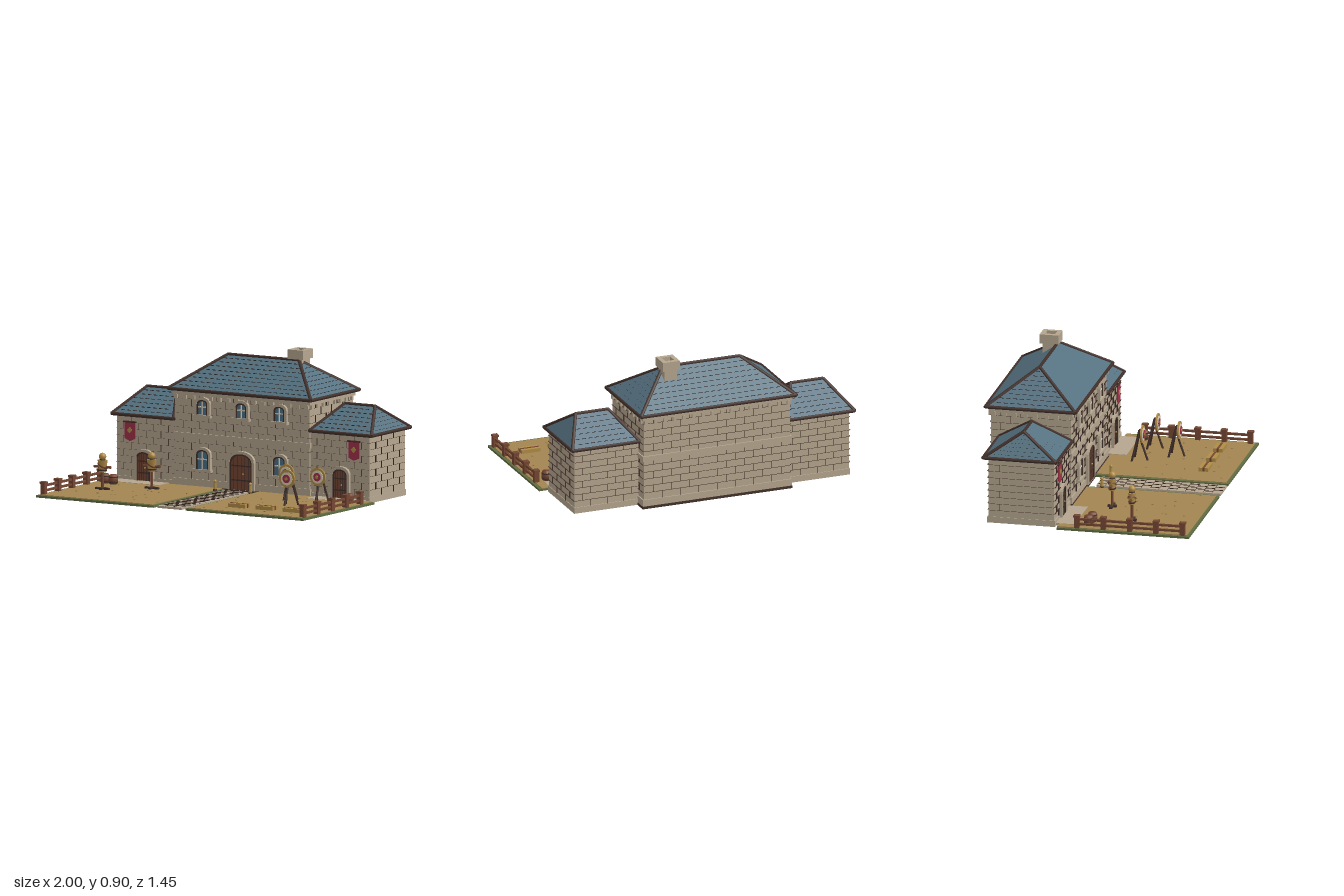
import * as THREE from 'three';

const mat = (name, color, double) => {
  const m = new THREE.MeshStandardMaterial({ color });
  m.name = name;
  if (double) m.side = THREE.DoubleSide;
  return m;
};

export function createModel() {
  const root = new THREE.Group();
  root.name = 'barracks';
  const stone = mat('stone', 0xb5a68f), slate = mat('roofSlate', 0x557180);
  const dark = mat('darkWood', 0x42302a, true), wood = mat('wood', 0x744632);
  const sand = mat('sand', 0xa28552), grass = mat('grass', 0x5f6c42);
  const red = mat('red', 0xa03048), straw = mat('straw', 0xb08c46);
  const glass = mat('glass', 0x48718a), cream = mat('cream', 0xd8cdb8);
  const V = (x, y, z) => new THREE.Vector3(x, y, z);

  const add = (name, geo, m, x = 0, y = 0, z = 0, parent = root) => {
    const mesh = new THREE.Mesh(geo, m);
    mesh.name = name;
    mesh.position.set(x, y, z);
    parent.add(mesh);
    return mesh;
  };
  const group = (name, x = 0, y = 0, z = 0) => {
    const g = new THREE.Group();
    g.name = name;
    g.position.set(x, y, z);
    root.add(g);
    return g;
  };
  // Box given by its extents
  const box = (name, m, x0, x1, y0, y1, z0, z1, p = root) =>
    add(name, new THREE.BoxGeometry(x1 - x0, y1 - y0, z1 - z0), m, (x0 + x1) / 2, (y0 + y1) / 2, (z0 + z1) / 2, p);
  // Straight pole between two points
  const pole = (name, m, a, b, r, p = root, sides = 6) => {
    const d = b.clone().sub(a), c = a.clone().add(b).multiplyScalar(0.5);
    const mesh = add(name, new THREE.CylinderGeometry(r, r, d.length(), sides), m, c.x, c.y, c.z, p);
    mesh.quaternion.setFromUnitVectors(V(0, 1, 0), d.normalize());
    return mesh;
  };
  const quads = (list) => {
    const pos = [];
    for (const [a, b, c, d] of list) for (const v of [a, b, c, a, c, d]) pos.push(v.x, v.y, v.z);
    const g = new THREE.BufferGeometry();
    g.setAttribute('position', new THREE.Float32BufferAttribute(pos, 3));
    g.computeVertexNormals();
    return g;
  };

  // Dark joint edges standing on a stone face, in running bond
  const joints = (name, o, u, v, W, H, rowH, brickW, depth = 0.008) => {
    const n = u.clone().cross(v).multiplyScalar(depth), list = [];
    const at = (s, t) => o.clone().addScaledVector(u, s).addScaledVector(v, t);
    const fin = (a, b) => list.push([a, b, b.clone().add(n), a.clone().add(n)]);
    const rows = Math.round(H / rowH), h = H / rows, w = W / Math.round(W / brickW);
    for (let r = 0; r < rows; r++) {
      if (r) fin(at(0, r * h), at(W, r * h));
      for (let s = r % 2 ? w / 2 : w; s < W - 0.01; s += w) fin(at(s, r * h), at(s, (r + 1) * h));
    }
    add(name, quads(list), dark);
  };
  const brickWalls = (name, x0, x1, y0, y1, z0, z1) => {
    box(name, stone, x0, x1, y0, y1, z0, z1);
    const up = V(0, 1, 0), H = y1 - y0;
    joints(name + 'FrontJoints', V(x0, y0, z1), V(1, 0, 0), up, x1 - x0, H, 0.045, 0.125);
    joints(name + 'BackJoints', V(x1, y0, z0), V(-1, 0, 0), up, x1 - x0, H, 0.045, 0.125);
    joints(name + 'LeftJoints', V(x1, y0, z1), V(0, 0, -1), up, z1 - z0, H, 0.045, 0.125);
    joints(name + 'RightJoints', V(x0, y0, z0), V(0, 0, 1), up, z1 - z0, H, 0.045, 0.125);
  };

  // Hipped roof with slate courses and dark ridge, hip and eave beams
  const hipRoof = (name, cx, cz, w, d, r, y0, y1, courses) => {
    const g = group(name, cx, 0, cz);
    const A = V(-w, y0, d), B = V(w, y0, d), C = V(w, y0, -d), D = V(-w, y0, -d);
    const L = V(-r, y1, 0), R = V(r, y1, 0);
    const slopes = [[A, B, R, L], [B, C, R, R], [C, D, L, R], [D, A, L, L]];
    add('slates', quads(slopes), slate, 0, 0, 0, g);
    const butts = [];
    for (const [a, b, rb, ra] of slopes) {
      const u = b.clone().sub(a).normalize();
      const n = u.clone().cross(ra.clone().sub(a)).normalize().multiplyScalar(0.006);
      for (let i = 1; i < courses; i++) {
        const p = a.clone().lerp(ra, i / courses), len = p.distanceTo(b.clone().lerp(rb, i / courses));
        for (let s = 0.015 + (i % 2) * 0.022; s + 0.03 < len; s += 0.044) {
          const e = p.clone().addScaledVector(u, s), f = p.clone().addScaledVector(u, s + 0.028);
          butts.push([e, f, f.clone().add(n), e.clone().add(n)]);
        }
      }
    }
    const buttMat = slateEdge;
    add('slateEdges', quads(butts), buttMat, 0, 0, 0, g);
    box('soffit', dark, -w, w, y0 - 0.012, y0 + 0.001, -d, d, g);
    for (const [a, b] of [[A, B], [B, C], [C, D], [D, A], [A, L], [D, L], [B, R], [C, R], [L, R]])
      pole('roofBeam', dark, a, b, 0.011, g);
  };
  const slateEdge = dark.clone();
  slateEdge.side = THREE.FrontSide;

  // Flat arched panel, its base at y = 0
  const archShape = (w, h, Type = THREE.Shape) => {
    const s = new Type(), rise = w * 0.36;
    s.moveTo(-w / 2, 0);
    s.lineTo(w / 2, 0);
    s.lineTo(w / 2, h - rise);
    s.bezierCurveTo(w / 2, h - rise * 0.3, w * 0.25, h, 0, h);
    s.bezierCurveTo(-w * 0.25, h, -w / 2, h - rise * 0.3, -w / 2, h - rise);
    return s;
  };
  const extrude = (s, depth) => new THREE.ExtrudeGeometry(s, { depth, bevelEnabled: false, curveSegments: 6 });
  const archFrame = (w, h, t, depth) => {
    const s = archShape(w, h);
    s.holes.push(archShape(w - 2 * t, h - t, THREE.Path));
    return extrude(s, depth);
  };

  const windowAt = (x, y, z, w, h) => {
    const g = group('window', x, y, z);
    add('surround', archFrame(w + 0.034, h + 0.017, 0.017, 0.02), stone, 0, 0, 0, g);
    add('frame', archFrame(w, h, 0.009, 0.017), dark, 0, 0, 0, g);
    add('pane', extrude(archShape(w - 0.012, h - 0.006), 0.011), glass, 0, 0, 0, g);
    box('mullion', cream, -0.004, 0.004, 0.004, h - 0.01, 0.011, 0.015, g);
    box('transom', cream, -w / 2 + 0.008, w / 2 - 0.008, h * 0.5, h * 0.5 + 0.008, 0.011, 0.015, g);
    box('sill', stone, -w / 2 - 0.025, w / 2 + 0.025, -0.014, 0.004, 0, 0.028, g);
  };
  const doorAt = (x, y, z, w, h) => {
    const g = group('door', x, y, z);
    add('surround', archFrame(w + 0.036, h + 0.018, 0.018, 0.022), stone, 0, 0, 0, g);
    add('frame', archFrame(w, h, 0.01, 0.019), dark, 0, 0, 0, g);
    add('leaf', extrude(archShape(w - 0.012, h - 0.006), 0.012), wood, 0, 0, 0, g);
    for (let i = 1; i < 6; i++) {
      const px = (i / 6 - 0.5) * w;
      box('plankGap', dark, px - 0.002, px + 0.002, 0, h * (i % 4 === 1 ? 0.88 : 0.94), 0.011, 0.014, g);
    }
    for (const t of [0.25, 0.65]) box('ironBand', dark, -w * 0.45, w * 0.45, h * t, h * t + 0.009, 0.011, 0.015, g);
    add('handle', new THREE.SphereGeometry(0.006, 8, 6), straw, w * 0.1, h * 0.45, 0.018, g);
  };

  // Main hall
  box('foundation', dark, -0.515, 0.515, 0, 0.016, -0.698, -0.142);
  box('plinth', stone, -0.512, 0.512, 0.016, 0.06, -0.693, -0.152);
  brickWalls('hall', -0.503, 0.503, 0.06, 0.62, -0.685, -0.16);
  box('stringCourse', stone, -0.512, 0.512, 0.322, 0.354, -0.694, -0.151);
  box('cornice', stone, -0.515, 0.515, 0.598, 0.622, -0.697, -0.148);
  for (let i = 0; i < 16; i++) {
    const x = -0.49 + i * 0.98 / 15;
    for (const z of [-0.156, -0.689]) box('dentil', stone, x - 0.011, x + 0.011, 0.572, 0.6, z - 0.01, z + 0.01);
  }
  for (let i = 0; i < 8; i++) for (const s of [-1, 1])
    add('sideDentil', new THREE.BoxGeometry(0.02, 0.028, 0.022), stone, s * 0.507, 0.586, -0.18 - i * 0.069);
  hipRoof('hallRoof', 0, -0.42, 0.535, 0.295, 0.265, 0.635, 0.838, 9);
  for (const x of [-0.29, 0, 0.285]) windowAt(x, 0.475, -0.16, 0.08, 0.1);
  for (const x of [-0.29, 0.285]) windowAt(x, 0.125, -0.16, 0.09, 0.128);
  doorAt(0, 0.016, -0.16, 0.165, 0.232);

  // Chimney
  box('chimneyStack', stone, 0.203, 0.29, 0.72, 0.85, -0.51, -0.415);
  const cap = archlessCap(0.115, 0.125);
  add('chimneyCap', cap, stone, 0.247, 0.845, -0.463).rotation.x = -Math.PI / 2;
  box('flue', dark, 0.217, 0.277, 0.848, 0.87, -0.495, -0.43);
  function archlessCap(w, d) {
    const rect = (T, a, b) => new T([[-a, -b], [a, -b], [a, b], [-a, b]].map(p => new THREE.Vector2(...p)));
    const s = rect(THREE.Shape, w / 2, d / 2);
    s.holes.push(rect(THREE.Path, 0.03, 0.033));
    return extrude(s, 0.06);
  }

  // Wings, mirrored
  for (const s of [-1, 1]) {
    const [x0, x1] = s < 0 ? [-0.945, -0.5] : [0.5, 0.945];
    box('wingPlinth', stone, x0 - 0.004, x1 + 0.004, 0, 0.04, -0.606, -0.163);
    brickWalls('wing', x0, x1, 0.04, 0.43, -0.6, -0.17);
    hipRoof('wingRoof', s * 0.74, -0.39, 0.232, 0.24, 0.112, 0.437, 0.592, 7);
    box('wingStep', stone, s * 0.738 - 0.187, s * 0.738 + 0.187, 0.004, 0.02, -0.17, -0.04);
    doorAt(s * 0.735, 0.02, -0.17, 0.105, 0.185);
    // Hanging banner
    const b = group('banner', s * 0.838, 0, -0.159);
    const cloth = [[-0.04, 0.39], [-0.04, 0.285], [0, 0.268], [0.04, 0.285], [0.04, 0.39]];
    add('cloth', extrude(new THREE.Shape(cloth.map(p => new THREE.Vector2(...p))), 0.006), red, 0, 0, 0, b);
    add('emblem', new THREE.CylinderGeometry(0.02, 0.02, 0.004, 4), straw, 0, 0.338, 0.008, b).rotation.x = Math.PI / 2;
    pole('rod', dark, V(-0.048, 0.392, 0.003), V(0.048, 0.392, 0.003), 0.006, b);
  }

  // Path and yards
  box('path', stone, -0.09, 0.09, 0.002, 0.016, -0.09, 0.722);
  joints('pathJoints', V(-0.09, 0.016, 0.722), V(1, 0, 0), V(0, 0, -1), 0.18, 0.81, 0.06, 0.06, 0.005);
  let seed = 7;
  const rnd = () => (seed = (seed * 16807) % 2147483647) / 2147483647;
  for (const s of [-1, 1]) {
    box('grassBorder', grass, s * 0.56 - 0.44, s * 0.56 + 0.44, 0, 0.014, -0.142, 0.722);
    box('sandYard', sand, s * 0.56 - 0.42, s * 0.56 + 0.42, 0.012, 0.018, -0.142, 0.705);
    for (let i = 0; i < 22; i++)
      add('pebble', new THREE.BoxGeometry(0.012, 0.005, 0.008), sand, s * (0.16 + rnd() * 0.76), 0.02, rnd() * 0.66).rotation.y = rnd() * 3;
    // Fence
    for (let i = 0; i < 5; i++) {
      const z = -0.015 + i * 0.1725, x = s * 0.97;
      box('fencePost', wood, x - 0.016, x + 0.016, 0.012, 0.088, z - 0.016, z + 0.016);
      box('fencePostCap', wood, x - 0.02, x + 0.02, 0.086, 0.099, z - 0.02, z + 0.02);
    }
    for (const y of [0.04, 0.072]) box('fenceRail', wood, s * 0.97 - 0.007, s * 0.97 + 0.007, y - 0.007, y + 0.007, -0.015, 0.675);
    // Lantern post beside the path
    const l = group('lantern', s * 0.132, 0.014, -0.045);
    add('base', new THREE.CylinderGeometry(0.012, 0.014, 0.012, 8), dark, 0, 0.006, 0, l);
    add('body', new THREE.CylinderGeometry(0.009, 0.011, 0.045, 8), straw, 0, 0.034, 0, l);
    add('top', new THREE.SphereGeometry(0.011, 8, 6), straw, 0, 0.062, 0, l);
  }

  // Barrels
  const staves = [[0, 0], [0.026, 0], [0.032, 0.03], [0.026, 0.062], [0, 0.062]].map(p => new THREE.Vector2(...p));
  for (const [x, z] of [[-0.9, 0.045], [-0.832, 0.055], [0.895, -0.005]]) {
    const g = group('barrel', x, 0.016, z);
    add('staves', new THREE.LatheGeometry(staves, 10), wood, 0, 0, 0, g);
    for (const y of [0.014, 0.047]) add('hoop', new THREE.CylinderGeometry(0.031, 0.031, 0.007, 10), dark, 0, y, 0, g);
  }

  // Training dummies
  for (const [x, z] of [[-0.763, 0.297], [-0.51, 0.11]]) {
    const g = group('trainingDummy', x, 0.016, z);
    box('footX', dark, -0.05, 0.05, 0, 0.014, -0.01, 0.01, g);
    box('footZ', dark, -0.01, 0.01, 0, 0.014, -0.03, 0.03, g);
    pole('post', wood, V(0, 0, 0), V(0, 0.2, 0), 0.009, g);
    pole('arms', wood, V(-0.063, 0.147, 0), V(0.063, 0.147, 0), 0.009, g);
    add('torso', new THREE.CylinderGeometry(0.034, 0.025, 0.078, 10), straw, 0, 0.152, 0, g).scale.z = 0.75;
    add('head', new THREE.SphereGeometry(0.024, 10, 8), straw, 0, 0.214, 0, g);
    add('neckTie', new THREE.CylinderGeometry(0.018, 0.02, 0.008, 10), dark, 0, 0.194, 0, g);
    add('belt', new THREE.CylinderGeometry(0.031, 0.03, 0.009, 10), dark, 0, 0.127, 0, g).scale.z = 0.8;
    const strap = add('strap', new THREE.CylinderGeometry(0.037, 0.037, 0.009, 10), wood, 0, 0.155, 0, g);
    strap.scale.z = 0.78;
    strap.rotation.z = -0.5;
  }

  // Archery targets on tripods
  for (const [x, z] of [[0.48, 0.07], [0.615, 0.28], [0.74, 0.11]]) {
    const g = group('archeryTarget', x, 0.016, z);
    for (const s of [-1, 1]) pole('backLeg', dark, V(s * 0.01, 0.2, -0.008), V(s * 0.046, 0, -0.05), 0.007, g);
    pole('frontLeg', dark, V(0, 0.13, 0), V(0, 0, 0.045), 0.007, g);
    [[0.058, 0.022, straw], [0.042, 0.026, cream], [0.027, 0.03, red], [0.01, 0.034, straw]].forEach(([r, t, m], i) =>
      add('ring' + i, new THREE.CylinderGeometry(r, r, t - 0.012, 20), m, 0, 0.174, t / 2, g).rotation.x = Math.PI / 2);
  }

  // Straw bales with a binding strip
  for (const x of [0.392, 0.597, 0.8]) {
    box('bale', straw, x - 0.064, x + 0.064, 0.016, 0.042, 0.482, 0.545);
    box('baleBinding', wood, x - 0.066, x + 0.066, 0.016, 0.044, 0.507, 0.52);
  }
  return root;
}
